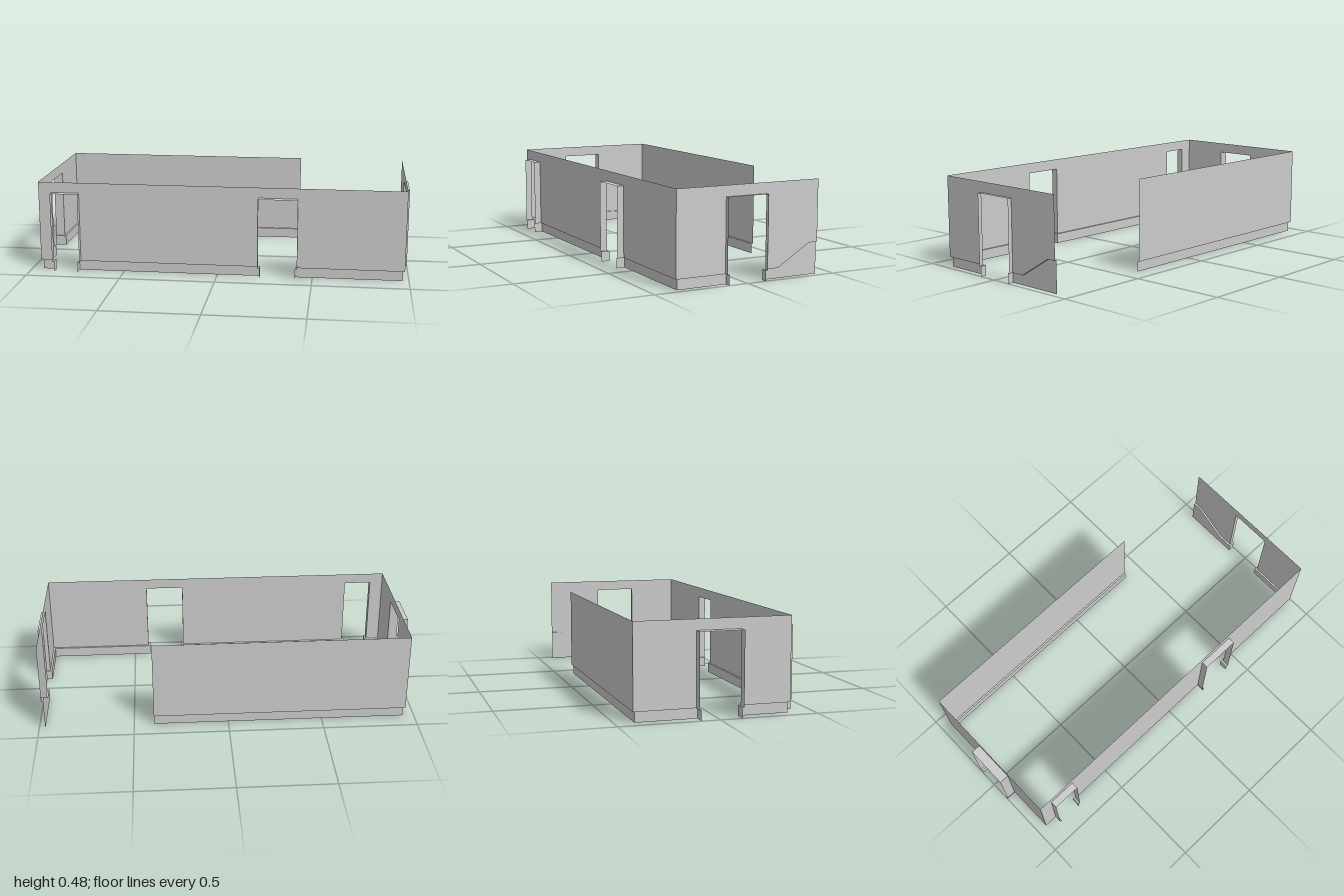
import * as THREE from 'three';

const TOP = 0.478, DOOR = 0.423, SKIRT = 0.053, OFFSET = 0.01;

const material = new THREE.MeshStandardMaterial({
  color: 0xcccccc, flatShading: true, side: THREE.DoubleSide,
});

// Mesh from a list of quads, each with four [x, y, z] corners
function quadMesh(name, quads) {
  const pos = [];
  for (const [a, b, c, d] of quads) pos.push(...a, ...b, ...c, ...a, ...c, ...d);
  const geo = new THREE.BufferGeometry();
  geo.setAttribute('position', new THREE.Float32BufferAttribute(pos, 3));
  geo.computeVertexNormals();
  const mesh = new THREE.Mesh(geo, material);
  mesh.name = name;
  return mesh;
}

// Strip of quads between two rails, facing the room
function strip(low, high) {
  return low.slice(1).map((p, i) => [p, low[i], high[i], high[i + 1]]);
}

// Plan path moved towards the room with mitred corners
function inset(path, t) {
  const normals = path.slice(1).map(([x, z], i) => {
    const dx = x - path[i][0], dz = z - path[i][1], l = Math.hypot(dx, dz);
    return [dz / l, -dx / l];
  });
  return path.map(([x, z, h], i) => {
    const a = normals[Math.max(i - 1, 0)], b = normals[Math.min(i, normals.length - 1)];
    const k = t / (1 + a[0] * b[0] + a[1] * b[1]);
    return [x + (a[0] + b[0]) * k, z + (a[1] + b[1]) * k, h];
  });
}

const rail = (path, y) => path.map(([x, z]) => [x, y, z]);
const railAtSkirt = (path) => path.map(([x, z, h = SKIRT]) => [x, h, z]);

export function createModel() {
  const group = new THREE.Group();
  group.name = 'room';

  // Plan of each wall run between doorways: [x, z, optional skirting height]
  const L = -0.95, R = 0.978, F = 0.377, B = -0.414, OUT = 0.414;
  const runs = {
    back: [[0.395, B], [L, B], [L, -0.104], [-1, -0.104]],
    frontRightCorner: [[-1, 0.12], [L, 0.12], [L, F], [-0.88, F], [-0.88, OUT]],
    frontMiddle: [[-0.733, OUT], [-0.733, F], [0.215, F], [0.215, OUT]],
    frontLeftCorner: [[0.42, OUT], [0.42, F], [R, F], [R, 0.111], [1, 0.111]],
    stair: [[1, -0.113], [R, -0.113], [R, -0.185], [R, -0.365, 0.163], [R, B, 0.163]],
  };

  for (const [name, path] of Object.entries(runs)) {
    const board = inset(path, OFFSET);
    // Wall and door jambs up to door height
    group.add(quadMesh(name + 'Wall', strip(railAtSkirt(path), rail(path, DOOR))));
    // Skirting board with its top ledge
    group.add(quadMesh(name + 'Skirting', [
      ...strip(rail(board, 0), railAtSkirt(board)),
      ...strip(railAtSkirt(board), railAtSkirt(path)),
    ]));
  }

  // Continuous band above the doors
  const plan = [[0.395, B], [L, B], [L, F], [R, F], [R, B]];
  group.add(quadMesh('upperWall', strip(rail(plan, DOOR), rail(plan, TOP))));

  // Undersides of the door heads: x0, x1, z0, z1
  const heads = [
    [-1, L, -0.104, 0.12], [R, 1, -0.113, 0.111],
    [-0.88, -0.733, F, OUT], [0.215, 0.42, F, OUT],
  ];
  group.add(quadMesh('doorHeads', heads.map(([x0, x1, z0, z1]) => [
    [x0, DOOR, z0], [x1, DOOR, z0], [x1, DOOR, z1], [x0, DOOR, z1],
  ])));

  return group;
}
